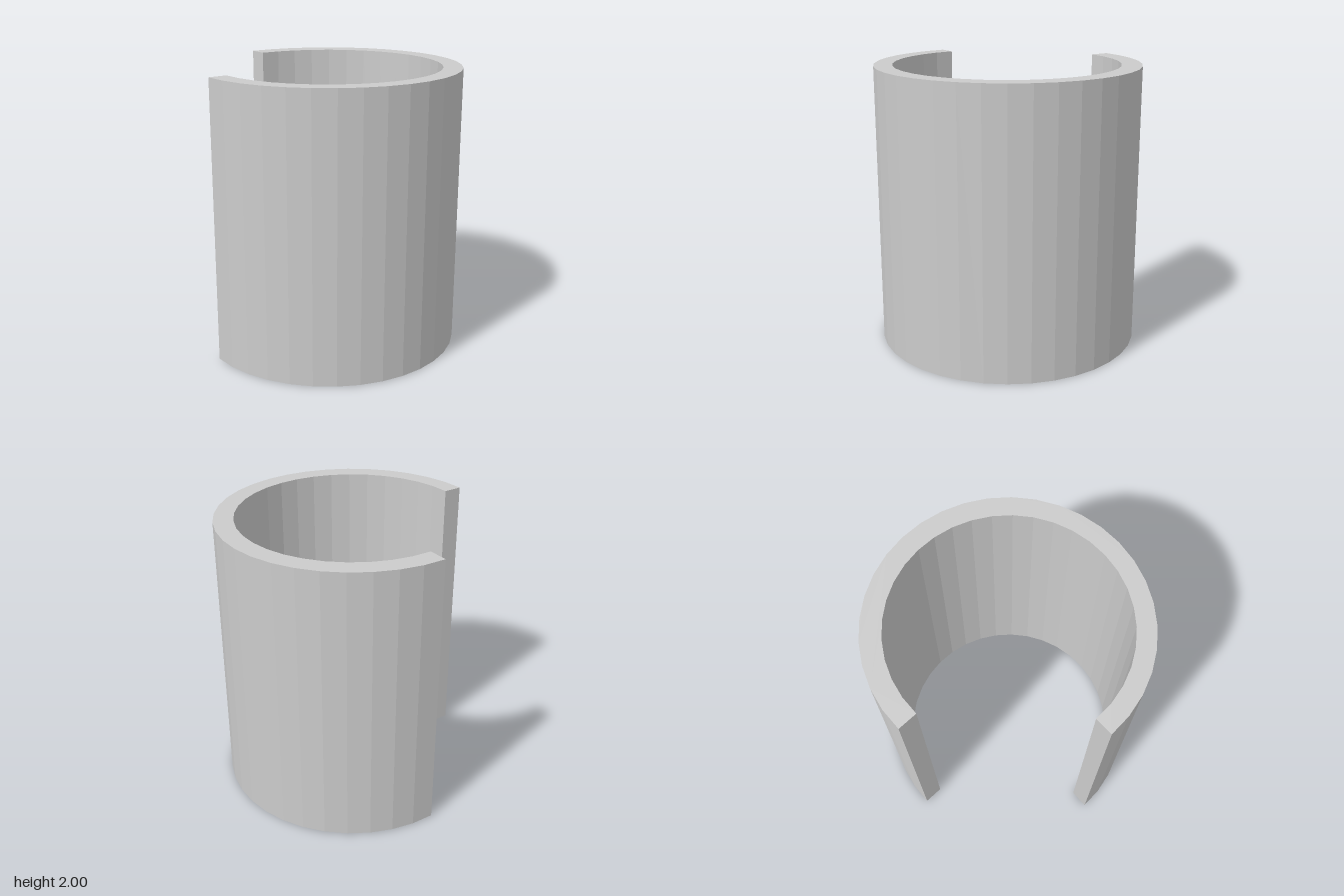
import * as THREE from 'three';

const SEGMENTS = 28;
const HEIGHT = 2;
const CUT_Z = 0.035; // plane of the left slit face
const CUT_X = -0.025; // plane of the front slit face

// Points along one wall of the open ring, from the -x end round the back to the front.
// Plan coordinates: x, and y = -z.
function arc(radius, cx, cz) {
  const start = Math.PI + Math.asin((CUT_Z - cz) / radius);
  const end = -Math.PI / 2 - Math.asin((cx - CUT_X) / radius);
  return Array.from({ length: SEGMENTS + 1 }, (_, i) => {
    const a = start + ((end - start) * i) / SEGMENTS;
    return new THREE.Vector2(cx + radius * Math.cos(a), -cz + radius * Math.sin(a));
  });
}

export function createModel() {
  const group = new THREE.Group();
  group.name = 'openTube';

  // Faceted wall with a quarter missing; the bore sits slightly off centre
  const outer = arc(0.937, 0, -0.002);
  const inner = arc(0.8, 0.005, 0.002);
  const section = new THREE.Shape([...outer, ...inner.reverse()]);
  const geometry = new THREE.ExtrudeGeometry(section, { depth: HEIGHT, bevelEnabled: false });
  geometry.rotateX(-Math.PI / 2);

  const wall = new THREE.Mesh(
    geometry,
    new THREE.MeshStandardMaterial({ color: 0xcccccc, flatShading: true })
  );
  wall.name = 'tubeWall';
  group.add(wall);
  return group;
}
